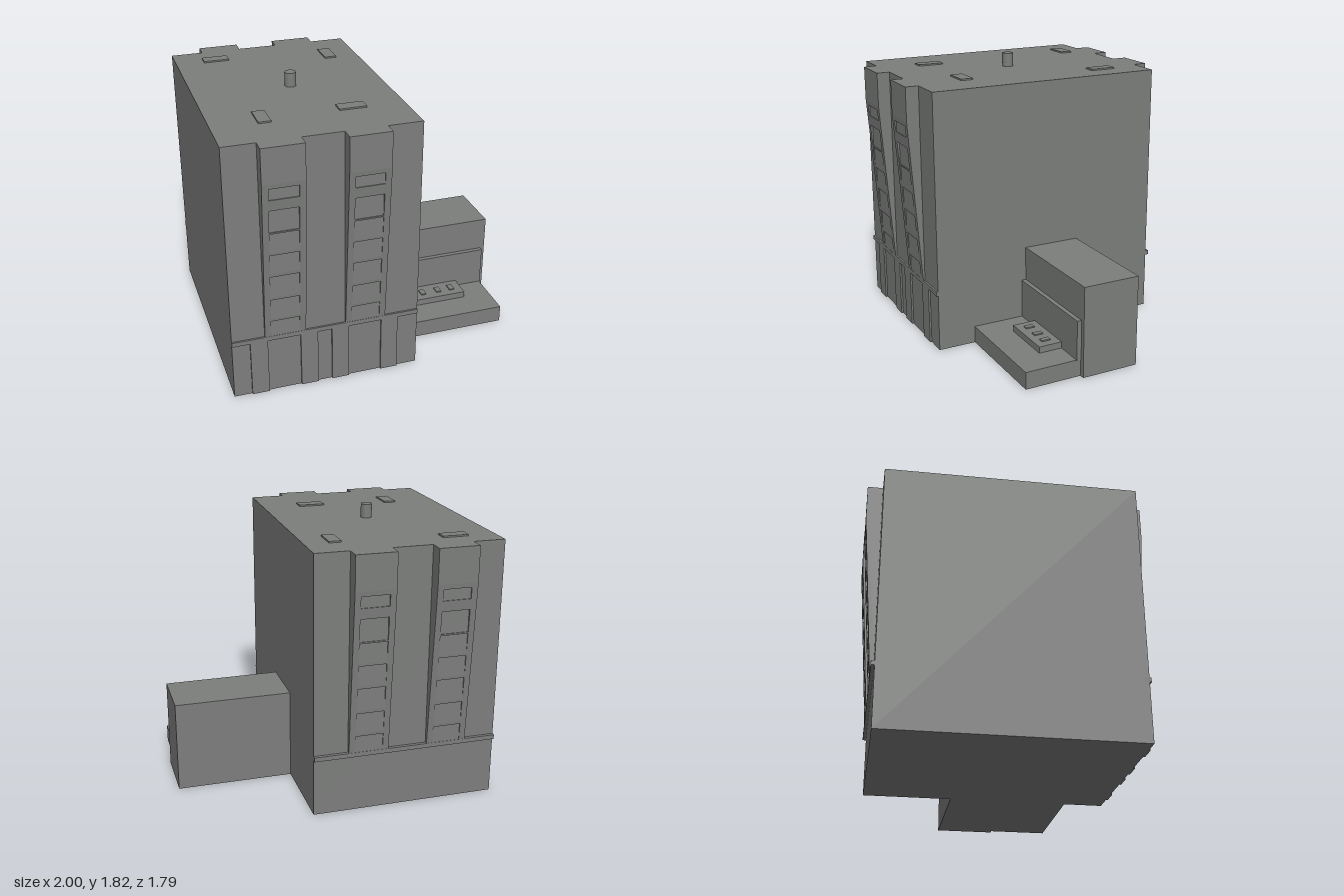
import * as THREE from 'three';

export function createModel() {
  const model = new THREE.Group();
  model.name = 'towerBuilding';
  const concrete = new THREE.MeshStandardMaterial({ color: 0x7c7e7c });
  concrete.name = 'grey concrete';

  // Box given by its min and max corners
  function box(name, x0, x1, y0, y1, z0, z1, parent = model) {
    const mesh = new THREE.Mesh(new THREE.BoxGeometry(x1 - x0, y1 - y0, z1 - z0), concrete);
    mesh.position.set((x0 + x1) / 2, (y0 + y1) / 2, (z0 + z1) / 2);
    mesh.name = name;
    parent.add(mesh);
  }

  // Side profile given as [z, y] points, extruded from x0 to x1
  function slice(name, points, x0, x1, parent) {
    const shape = new THREE.Shape(points.map(([z, y]) => new THREE.Vector2(-z, y)));
    const geometry = new THREE.ExtrudeGeometry(shape, { depth: x1 - x0, bevelEnabled: false });
    geometry.rotateY(Math.PI / 2);
    const mesh = new THREE.Mesh(geometry, concrete);
    mesh.position.x = x0;
    mesh.name = name;
    parent.add(mesh);
  }

  // Tower
  const roofY = 1.73;
  box('towerBlock', -1, 0.225, 0, roofY, -0.8, 0.81);

  // Ribs that lean outward, with a column of stepped window recesses
  const bottom = 0.4, bend = 1.5, inner = 0.78, low = 0.82, high = 0.897;
  const slopeZ = (y) => low + (high - low) * Math.min(1, (y - bottom) / (bend - bottom));
  const windows = [ // bottom, top, extra depth
    [0.4, 0.53, 0], [0.55, 0.69, 0], [0.71, 0.86, 0], [0.88, 1.015, 0],
    [1.03, 1.165, 0], [1.175, 1.325, 0.006], [1.395, 1.47, 0.006],
  ];
  const plain = [[inner, bottom], [low, bottom], [high, bend], [high, roofY], [inner, roofY]];
  const stepped = [[inner, bottom], [low, bottom]];
  for (const [y0, y1, depth] of windows) {
    const z = slopeZ(y0) - depth;
    if (y0 > bottom) stepped.push([slopeZ(y0), y0]);
    if (depth > 0) stepped.push([z, y0]);
    stepped.push([z, y1], [slopeZ(y1), y1]);
  }
  stepped.push([high, bend], [high, roofY], [inner, roofY]);

  for (const side of [1, -1]) {
    const label = side > 0 ? 'front' : 'back';
    for (const x of [-0.79, -0.265]) {
      const rib = new THREE.Group();
      rib.name = label + 'Rib';
      const flip = (points) => points.map(([z, y]) => [z * side, y]);
      slice('ribEdge', flip(plain), x, x + 0.04, rib);
      slice('ribWindows', flip(stepped), x + 0.04, x + 0.225, rib);
      slice('ribEdge', flip(plain), x + 0.225, x + 0.265, rib);
      model.add(rib);
    }
    // Ledge below the ribs
    const [z0, z1] = side > 0 ? [0.78, 0.822] : [-0.822, -0.78];
    box(label + 'Ledge', -1, 0.225, 0.385, 0.415, z0, z1);
  }

  // Flat pilasters on the front of the ground floor
  for (const x of [-0.885, -0.56, -0.355, -0.025])
    box('pilaster', x, x + 0.112, 0, 0.385, 0.79, 0.822);

  // Roof hatches and chimney
  for (const [x0, x1, z0, z1] of [
    [-0.815, -0.645, -0.665, -0.585], [-0.01, 0.07, -0.595, -0.42],
    [-0.715, -0.635, 0.375, 0.55], [-0.2, -0.025, 0.42, 0.505],
  ]) box('roofHatch', x0, x1, roofY - 0.01, roofY + 0.01, z0, z1);
  const chimney = new THREE.Mesh(new THREE.CylinderGeometry(0.037, 0.037, 0.1, 24), concrete);
  chimney.position.set(-0.37, 1.772, 0);
  chimney.name = 'chimney';
  model.add(chimney);

  // Side annex with its front panel and terrace
  box('annex', 0.2, 1, 0, 0.61, -0.22, 0.17);
  box('annexPanel', 0.225, 0.97, 0.11, 0.38, 0.16, 0.2);
  box('terrace', 0.225, 0.965, 0, 0.115, 0.16, 0.555);
  box('terraceBlock', 0.41, 0.775, 0.11, 0.158, 0.19, 0.36);
  for (const x of [0.485, 0.6, 0.7])
    box('terraceCap', x - 0.018, x + 0.018, 0.15, 0.166, 0.25, 0.31);

  return model;
}
